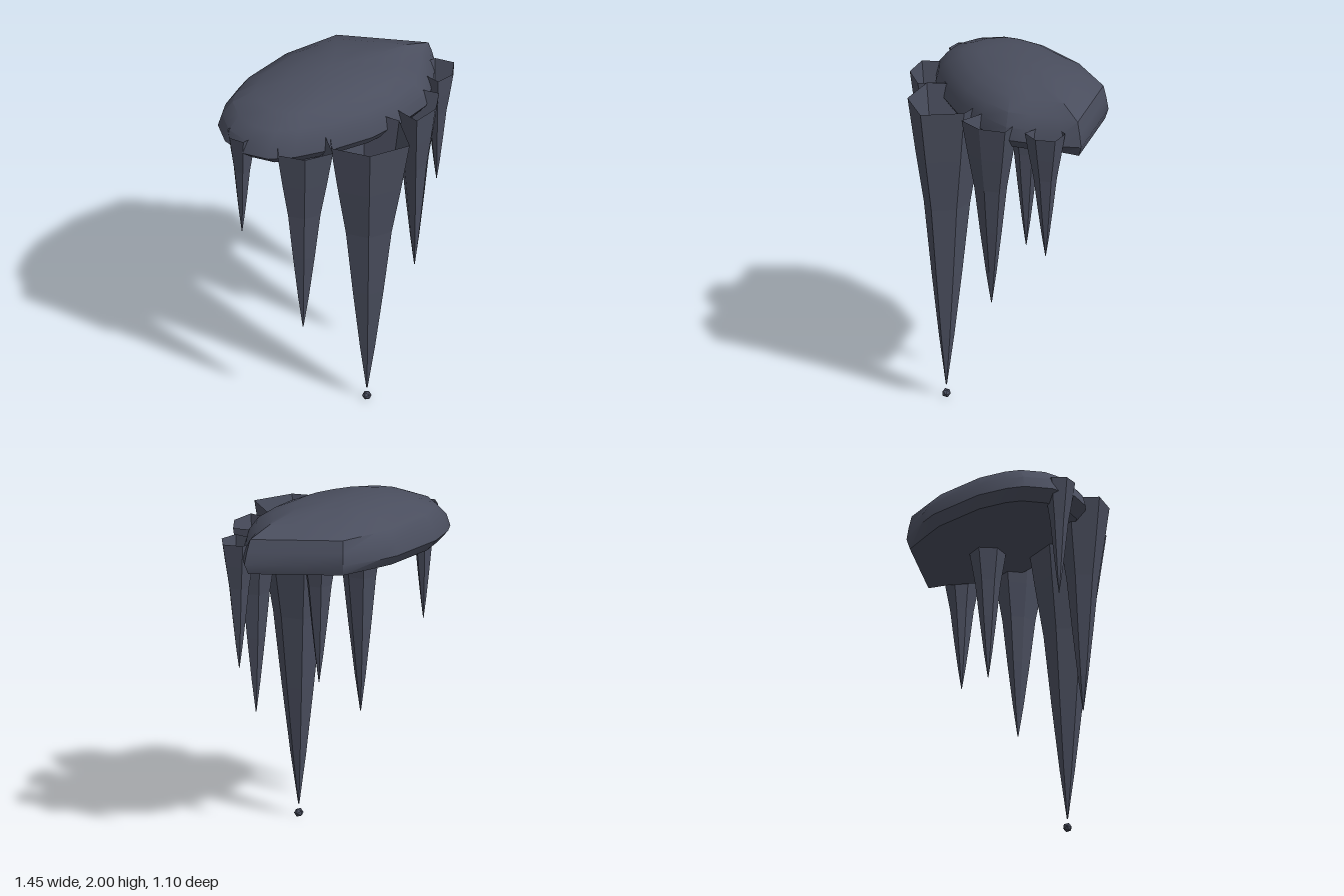
import * as THREE from 'three';
import { toCreasedNormals } from 'three/addons/utils/BufferGeometryUtils.js';

// Joins equal-length rings (bottom to top) into a skin, with optional end points
function loft(rings, bottom, top) {
  const n = rings[0].length;
  const pos = rings.flat(2);
  const index = [];
  for (let j = 0; j < rings.length - 1; j++) {
    for (let i = 0; i < n; i++) {
      const a = j * n + i, b = j * n + (i + 1) % n;
      index.push(a, a + n, b, b, a + n, b + n);
    }
  }
  const cap = (point, start, up) => {
    const c = pos.length / 3;
    pos.push(...point);
    for (let i = 0; i < n; i++) {
      const a = start + i, b = start + (i + 1) % n;
      index.push(...(up ? [a, c, b] : [a, b, c]));
    }
  };
  if (bottom) cap(bottom, 0, false);
  if (top) cap(top, (rings.length - 1) * n, true);
  const g = new THREE.BufferGeometry();
  g.setAttribute('position', new THREE.Float32BufferAttribute(pos, 3));
  g.setIndex(index);
  g.computeVertexNormals();
  return g;
}

// Plan outline of the rock as [x, z]; the straight run at the back right is a sheared face
const OUTLINE = [
  [-0.06, -0.55], [0.07, -0.545], [0.3, -0.505], [0.5, -0.32], [0.705, -0.13],
  [0.65, -0.05], [0.53, 0.09], [0.42, 0.2], [0.22, 0.255], [0, 0.28],
  [-0.25, 0.25], [-0.47, 0.19], [-0.6, 0.12], [-0.68, 0], [-0.7, -0.16],
  [-0.645, -0.31], [-0.57, -0.38], [-0.41, -0.47],
];
// Rock levels: height, scale, scale on the sheared face, shift in z
const LEVELS = [
  [1.69, 0.9, 0.96, 0], [1.75, 1, 1, 0], [1.82, 0.965, 0.975, 0],
  [1.89, 0.87, 0.94, 0], [1.945, 0.68, 0.72, 0.01], [1.98, 0.44, 0.45, 0.03],
];

function rockGeometry() {
  const cz = -0.13;
  const rings = LEVELS.map(([y, s, sheared, dz]) => OUTLINE.map(([x, z], i) => {
    const k = i >= 2 && i <= 4 ? sheared : s;
    return [x * k, y, cz + (z - cz) * k + dz];
  }));
  return toCreasedNormals(loft(rings, [0, 1.69, cz], [0, 2, cz]), 0.55);
}

// Hollow six-sided spike: taper as [fraction of length from the tip, fraction of rim radius]
const RIM_Y = 1.83;
const TAPER = [[0, 0.015], [0.17, 0.19], [0.4, 0.39], [0.64, 0.58], [0.82, 0.8], [1, 1]];

function spikeGeometry(x, z, tipY, radii) {
  return loft(TAPER.map(([t, s]) => radii.map((r, i) => {
    const a = i * Math.PI / 3;
    return [x + Math.cos(a) * r * s, tipY + (RIM_Y - tipY) * t, z + Math.sin(a) * r * s];
  })));
}

// Spikes: x, z, tip height, rim radius at each corner
const SPIKES = {
  mainSpike: [-0.07, 0.324, 0.08, [0.22, 0.265, 0.218, 0.245, 0.23, 0.23]],
  leftInnerSpike: [0.315, 0.235, 0.72, [0.168, 0.13, 0.168, 0.115, 0.14, 0.15]],
  rightInnerSpike: [-0.425, 0.21, 0.58, [0.15, 0.185, 0.147, 0.175, 0.16, 0.16]],
  leftOuterSpike: [0.6, 0.04, 1.08, [0.12, 0.105, 0.117, 0.085, 0.1, 0.11]],
  rightOuterSpike: [-0.64, -0.08, 1.15, [0.08, 0.085, 0.09, 0.085, 0.088, 0.085]],
  hiddenSpike: [0.12, -0.08, 0.93, [0.125, 0.12, 0.12, 0.12, 0.13, 0.125]],
};

export function createModel() {
  const model = new THREE.Group();
  model.name = 'hangingSpikes';
  const stone = new THREE.MeshStandardMaterial({ color: 0x4a4e5e });
  stone.name = 'slateStone';
  const faceted = new THREE.MeshStandardMaterial({
    color: 0x4a4e5e, flatShading: true, side: THREE.DoubleSide,
  });
  faceted.name = 'slateStoneFaceted';

  const add = (name, geometry, material) => {
    const mesh = new THREE.Mesh(geometry, material);
    mesh.name = name;
    model.add(mesh);
    return mesh;
  };

  // Domed ceiling rock
  add('ceilingRock', rockGeometry(), stone);

  // Spikes hanging along the front edge and below
  for (const [name, args] of Object.entries(SPIKES)) add(name, spikeGeometry(...args), faceted);

  // Falling drop under the longest spike
  add('drop', new THREE.IcosahedronGeometry(0.027, 0), faceted).position.set(-0.07, 0.027, 0.324);

  return model;
}
